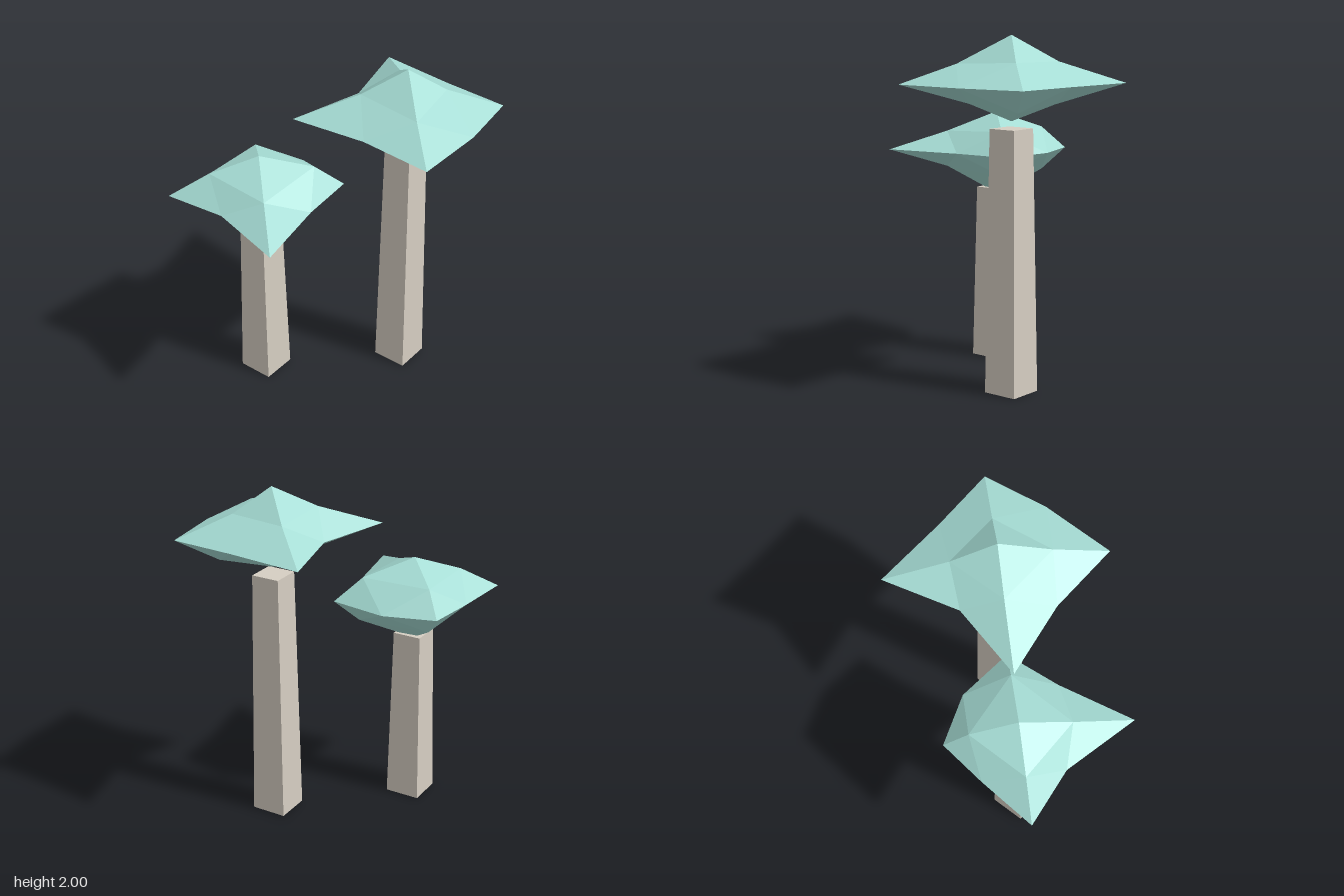
import * as THREE from 'three';

const barkMaterial = new THREE.MeshStandardMaterial({ color: 0xd6cec2, flatShading: true });
const leafMaterial = new THREE.MeshStandardMaterial({ color: 0xa6ddd5, flatShading: true });

// Each crown: equator radii every 45 degrees from +x towards +z,
// and [radius, height] rings at +x, +z, -x, -z above and below it.
const trees = [
  {
    name: 'shortTree', x: -0.43, trunkHeight: 1.05, crownY: 1.285, top: 0.225, bottom: -0.275,
    equator: [0.48, 0.37, 0.65, 0.33, 0.515, 0.335, 0.42, 0.39],
    upper: [[0.31, 0.13], [0.3, 0.11], [0.28, 0.13], [0.275, 0.13]],
    lower: [[0.33, -0.13], [0.3, -0.105], [0.27, -0.105], [0.275, -0.13]],
  },
  {
    name: 'tallTree', x: 0.4, trunkHeight: 1.49, crownY: 1.735, top: 0.265, bottom: -0.205,
    equator: [0.545, 0.44, 0.615, 0.4, 0.635, 0.335, 0.635, 0.405],
    upper: [[0.22, 0.125], [0.3, 0.11], [0.26, 0.13], [0.26, 0.12]],
    lower: [[0.3, -0.135], [0.23, -0.108], [0.25, -0.108], [0.24, -0.115]],
  },
];

// Irregular crown: a once-divided octahedron with its corners moved
function crownGeometry({ top, bottom, equator, upper, lower }) {
  const geometry = new THREE.OctahedronGeometry(1, 1);
  const position = geometry.attributes.position;
  for (let i = 0; i < position.count; i++) {
    const x = position.getX(i), y = position.getY(i), z = position.getZ(i);
    const step = (Math.round(Math.atan2(z, x) / (Math.PI / 4)) + 8) % 8;
    let radius = 0, height = 0;
    if (y > 0.9) height = top;
    else if (y < -0.9) height = bottom;
    else if (y > 0.1) [radius, height] = upper[step / 2];
    else if (y < -0.1) [radius, height] = lower[step / 2];
    else radius = equator[step];
    const angle = step * Math.PI / 4;
    position.setXYZ(i, radius * Math.cos(angle), height, radius * Math.sin(angle));
  }
  geometry.computeVertexNormals();
  return geometry;
}

function createTree(spec) {
  const tree = new THREE.Group();
  tree.name = spec.name;
  tree.position.set(spec.x, 0, -0.01);

  // Tapered four-sided trunk, corners on the axes
  const trunk = new THREE.Mesh(
    new THREE.CylinderGeometry(0.12, 0.148, spec.trunkHeight, 4), barkMaterial);
  trunk.name = 'trunk';
  trunk.position.y = spec.trunkHeight / 2;

  const crown = new THREE.Mesh(crownGeometry(spec), leafMaterial);
  crown.name = 'crown';
  crown.position.y = spec.crownY;

  tree.add(trunk, crown);
  return tree;
}

export function createModel() {
  const model = new THREE.Group();
  model.name = 'trees';
  for (const spec of trees) model.add(createTree(spec));
  return model;
}
